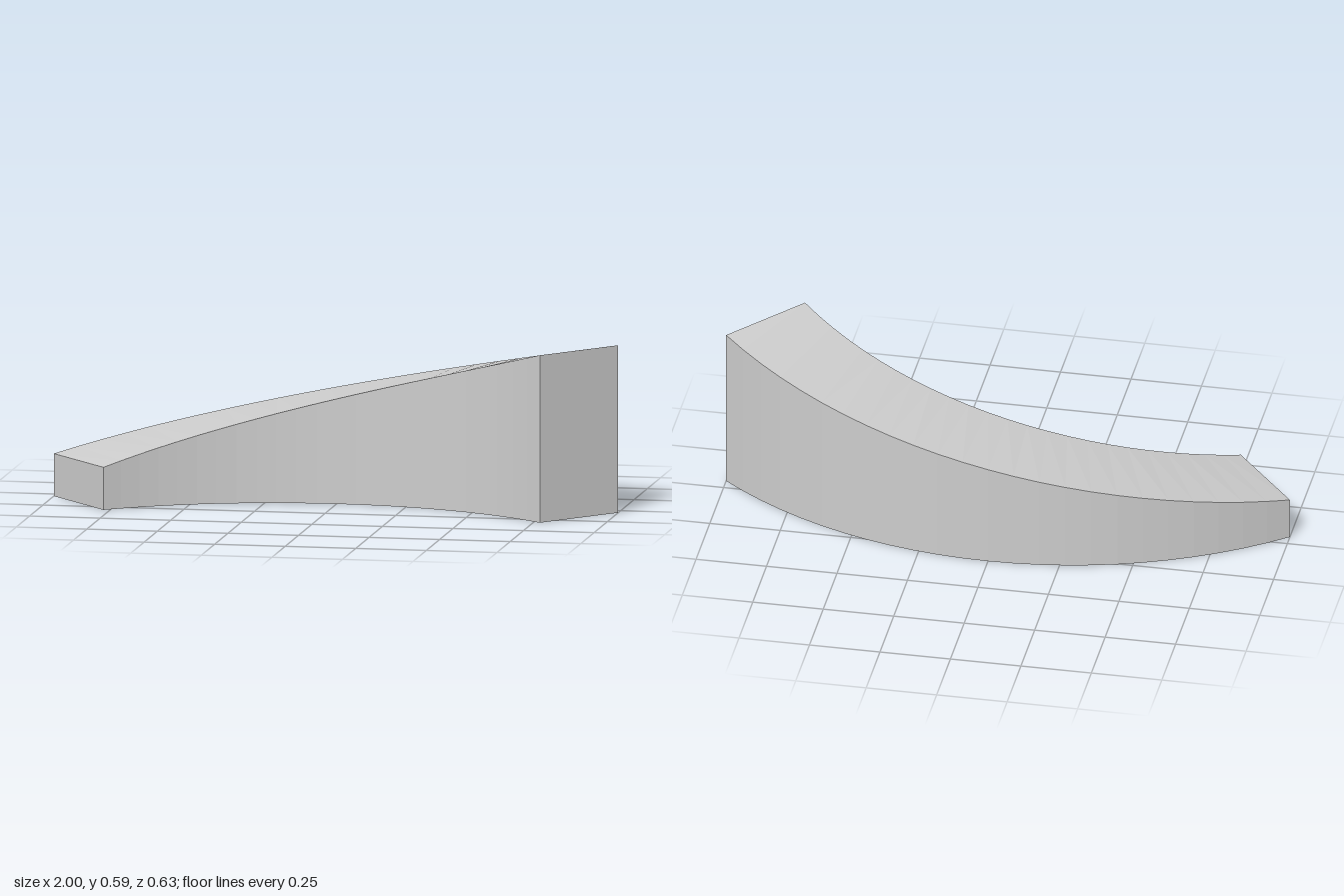
import * as THREE from 'three';

const SEGMENTS = 24;
const HALF_ANGLE = THREE.MathUtils.degToRad(40);
const OUTER = 1 / Math.sin(HALF_ANGLE);
const INNER = 0.773 / Math.sin(HALF_ANGLE);
const CENTRE_Z = OUTER - 0.318;
const LOW = 0.15, HIGH = 0.59;

// Curved ramp: a rectangular section swept round an arc, rising steadily from -x to +x
function rampGeometry() {
  const positions = [], index = [];
  for (let i = 0; i <= SEGMENTS; i++) {
    const t = i / SEGMENTS;
    const angle = THREE.MathUtils.lerp(-HALF_ANGLE, HALF_ANGLE, t);
    const height = THREE.MathUtils.lerp(LOW, HIGH, t);
    // section corners: inner bottom, outer bottom, outer top, inner top
    for (const [r, y] of [[INNER, 0], [OUTER, 0], [OUTER, height], [INNER, height]]) {
      positions.push(r * Math.sin(angle), y, CENTRE_Z - r * Math.cos(angle));
    }
  }
  // bottom, back, top and front strips
  for (let i = 0; i < SEGMENTS; i++) {
    for (let j = 0; j < 4; j++) {
      const a = i * 4 + j, b = i * 4 + (j + 1) % 4;
      index.push(a, b, b + 4, a, b + 4, a + 4);
    }
  }
  // end caps
  const e = SEGMENTS * 4;
  index.push(0, 2, 1, 0, 3, 2, e, e + 1, e + 2, e, e + 2, e + 3);

  const geometry = new THREE.BufferGeometry();
  geometry.setAttribute('position', new THREE.Float32BufferAttribute(positions, 3));
  geometry.setIndex(index);
  const flat = geometry.toNonIndexed();
  flat.computeVertexNormals();
  return flat;
}

export function createModel() {
  const group = new THREE.Group();
  group.name = 'curvedRamp';
  const material = new THREE.MeshStandardMaterial({ color: 0xcccccc, flatShading: true });
  const ramp = new THREE.Mesh(rampGeometry(), material);
  ramp.name = 'ramp';
  group.add(ramp);
  return group;
}
